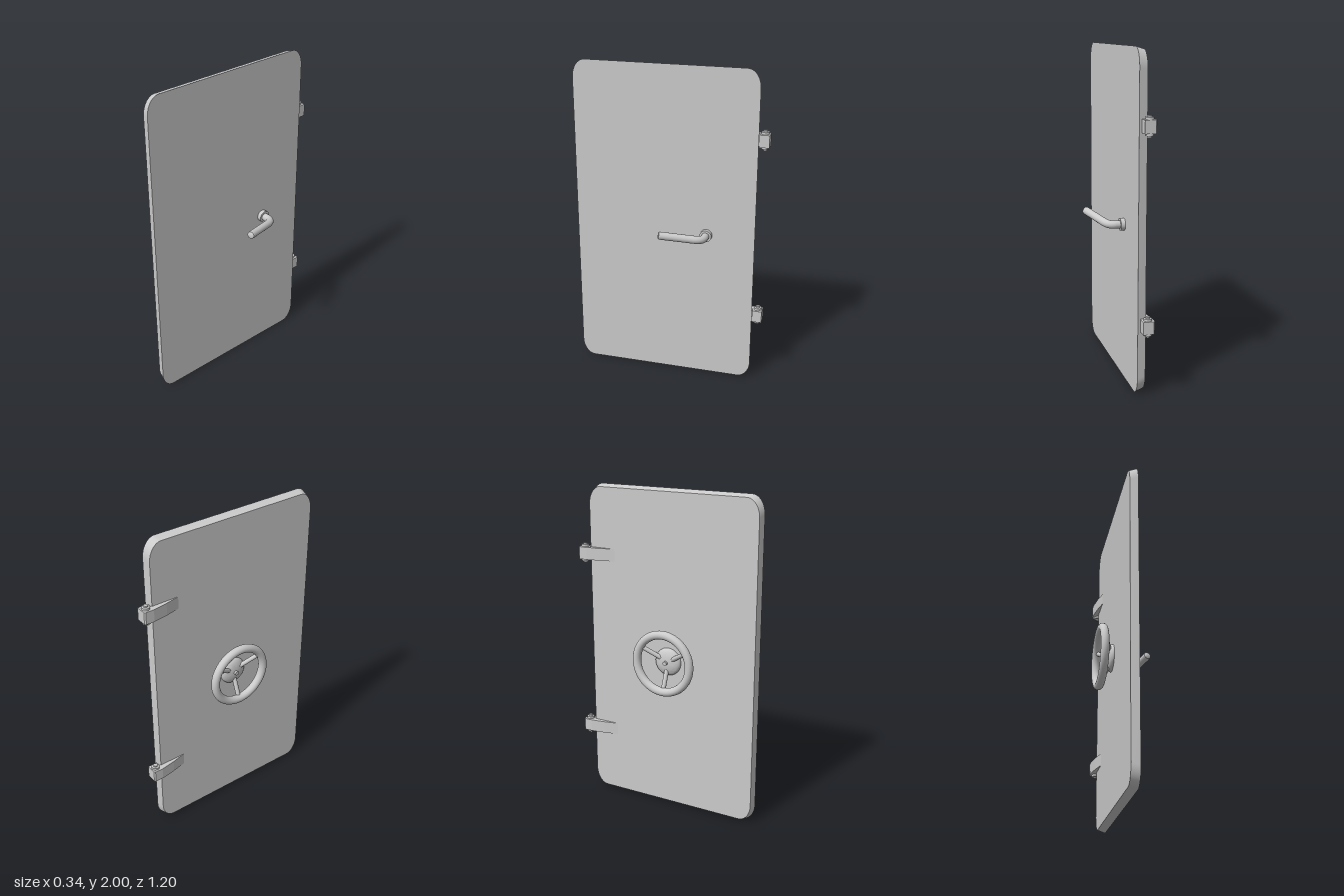
import * as THREE from 'three';
import { toCreasedNormals } from 'three/addons/utils/BufferGeometryUtils.js';

const V = (x, y, z) => new THREE.Vector3(x, y, z);
const V2 = (x, y) => new THREE.Vector2(x, y);
const material = new THREE.MeshStandardMaterial({ color: 0xcccccc });

function add(parent, name, geometry, x = 0, y = 0, z = 0) {
  const mesh = new THREE.Mesh(geometry, material);
  mesh.name = name;
  mesh.position.set(x, y, z);
  parent.add(mesh);
  return mesh;
}

// Surface of revolution from a radius/height profile, with crisp edges
const lathe = (profile, segments = 32) =>
  toCreasedNormals(new THREE.LatheGeometry(profile.map(p => V2(...p)), segments), 0.6);

// Rounded slab, slightly smaller on its -x face
function panelGeometry() {
  const w = 0.568, h = 1, rx = 0.08, ry = 0.11;
  const shape = new THREE.Shape();
  const corners = [[1, 1, 0], [-1, 1, 1], [-1, -1, 2], [1, -1, 3]];
  for (const [sx, sy, q] of corners) {
    shape.absellipse(sx * (w - rx), sy * (h - ry), rx, ry,
      q * Math.PI / 2, (q + 1) * Math.PI / 2, false, 0);
  }
  const geo = new THREE.ExtrudeGeometry(shape, { depth: 0.05, bevelEnabled: false, curveSegments: 6 });
  const p = geo.attributes.position;
  for (let i = 0; i < p.count; i++) {
    if (p.getZ(i) < 0.025) p.setXY(i, p.getX(i) * 0.982, p.getY(i) * 0.985);
  }
  geo.rotateY(Math.PI / 2);
  return toCreasedNormals(geo, 0.6);
}

// Wedge-shaped hinge leaf with a stepped pin through it
function makeHinge(y) {
  const hinge = new THREE.Group();
  hinge.name = 'hinge';
  hinge.position.y = y;
  const outline = [[-0.04, 0.6], [-0.103, 0.6], [-0.11, 0.592], [-0.11, 0.54],
    [-0.096, 0.45], [-0.075, 0.36], [-0.07, 0.36], [-0.07, 0.54], [-0.04, 0.54]];
  const leaf = new THREE.ExtrudeGeometry(new THREE.Shape(outline.map(p => V2(...p))),
    { depth: 0.076, bevelEnabled: false });
  leaf.rotateX(-Math.PI / 2);
  add(hinge, 'hingeLeaf', leaf, 0, -0.038, 0);
  add(hinge, 'hingePin', lathe([[0, -0.061], [0.013, -0.061], [0.013, -0.053], [0.024, -0.051],
    [0.024, 0.051], [0.013, 0.053], [0.013, 0.061], [0, 0.061]], 20), -0.075, 0, -0.57);
  return hinge;
}

// Handwheel with three sloping spokes on a domed hub
function makeWheel() {
  const wheel = new THREE.Group();
  wheel.name = 'handwheel';
  wheel.position.set(-0.075, 0.96, 0.0165);
  const rim = add(wheel, 'wheelRim', new THREE.TorusGeometry(0.18, 0.026, 16, 48), -0.073, 0.006, 0);
  rim.rotation.y = Math.PI / 2;
  const dome = [[0.086, 0]];
  for (let i = 0; i <= 8; i++) {
    const a = i / 8 * Math.PI / 2;
    dome.push([0.086 * Math.cos(a), 0.004 + 0.034 * Math.sin(a)]);
  }
  add(wheel, 'wheelHub', lathe(dome)).rotation.z = Math.PI / 2;
  const shaft = add(wheel, 'wheelShaft', new THREE.CylinderGeometry(0.013, 0.013, 0.05, 16), -0.026, 0, 0);
  shaft.rotation.z = Math.PI / 2;
  for (let i = 0; i < 3; i++) {
    const a = -Math.PI / 2 + i * Math.PI * 2 / 3;
    const c = Math.cos(a), s = Math.sin(a);
    const path = new THREE.LineCurve3(V(-0.018, 0.04 * s, 0.04 * c), V(-0.07, 0.006 + 0.175 * s, 0.175 * c));
    add(wheel, 'wheelSpoke', new THREE.TubeGeometry(path, 1, 0.014, 12));
  }
  return wheel;
}

// Bent lever handle on a round collar
function makeHandle() {
  const handle = new THREE.Group();
  handle.name = 'leverHandle';
  const collar = add(handle, 'handleCollar', new THREE.CylinderGeometry(0.037, 0.037, 0.027, 32), -0.0125, 0.962, -0.24);
  collar.rotation.z = Math.PI / 2;
  const a = V(-0.01, 0.962, -0.24), b = V(0.03, 0.962, -0.24);
  const bend = V(0.07, 0.962, -0.236), c = V(0.085, 0.97, -0.185), end = V(0.146, 0.999, 0.008);
  const path = new THREE.CurvePath();
  path.add(new THREE.LineCurve3(a, b));
  path.add(new THREE.QuadraticBezierCurve3(b, bend, c));
  path.add(new THREE.LineCurve3(c, end));
  add(handle, 'handleLever', new THREE.TubeGeometry(path, 40, 0.024, 16));
  // Slightly rounded tip
  const tip = add(handle, 'handleTip', lathe([[0.024, 0], [0.022, 0.006], [0.016, 0.01], [0, 0.011]], 16),
    end.x, end.y, end.z);
  tip.quaternion.setFromUnitVectors(V(0, 1, 0), end.clone().sub(c).normalize());
  return handle;
}

export function createModel() {
  const model = new THREE.Group();
  model.name = 'hatchDoor';
  add(model, 'doorPanel', panelGeometry(), -0.075, 1, 0.0275);
  for (const y of [0.435, 1.577]) model.add(makeHinge(y));
  model.add(makeWheel(), makeHandle());
  return model;
}
